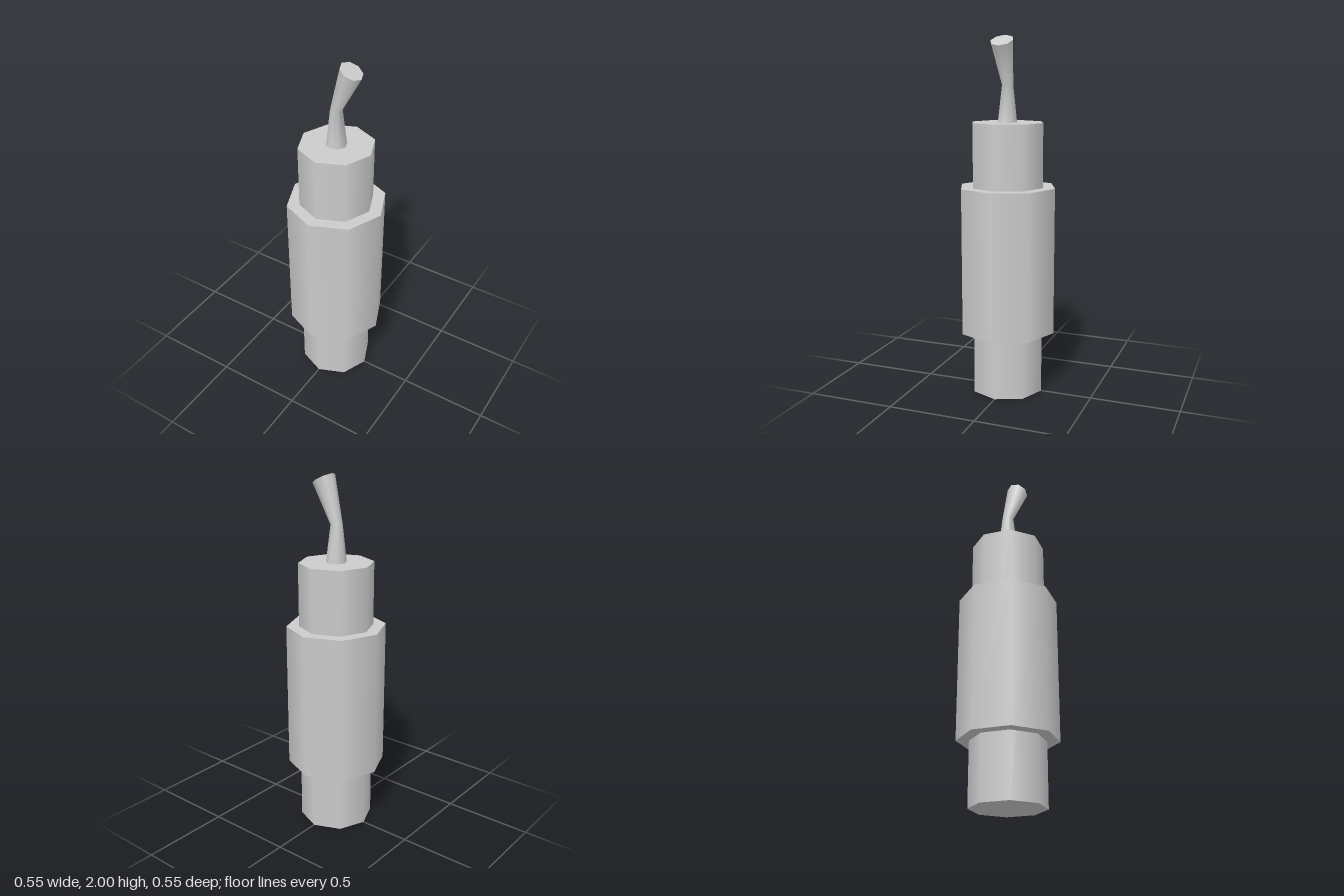
import * as THREE from 'three';
import { toCreasedNormals } from 'three/addons/utils/BufferGeometryUtils.js';

const SIDES = 8;

export function createModel() {
  const group = new THREE.Group();
  const material = new THREE.MeshStandardMaterial({ color: 0xcccccc });

  function add(name, geometry) {
    const mesh = new THREE.Mesh(geometry, material);
    mesh.name = name;
    group.add(mesh);
  }

  // Upright octagonal cylinder between two heights
  function addCylinder(name, radius, bottom, top) {
    const geometry = new THREE.CylinderGeometry(radius, radius, top - bottom, SIDES);
    add(name, geometry.translate(0, (bottom + top) / 2, 0));
  }

  addCylinder('core', 0.207, 0, 1.535);
  addCylinder('outerSleeve', 0.277, 0.355, 1.18);

  // Bent fuse: three rings, narrow in the middle, the top one tilted
  const rings = [
    { x: 0, y: 1.53, radius: 0.057, tilt: 0 },
    { x: -0.002, y: 1.738, radius: 0.033, tilt: 0 },
    { x: 0.085, y: 1.972, radius: 0.064, tilt: -0.48 },
  ];
  const fuse = new THREE.CylinderGeometry(1, 1, 2, SIDES, 2);
  const pos = fuse.attributes.position;
  const axis = new THREE.Vector3(0, 0, 1);
  const v = new THREE.Vector3();
  for (let i = 0; i < pos.count; i++) {
    const ring = rings[Math.round(pos.getY(i)) + 1];
    v.set(pos.getX(i) * ring.radius, 0, pos.getZ(i) * ring.radius);
    v.applyAxisAngle(axis, ring.tilt);
    pos.setXYZ(i, v.x + ring.x, v.y + ring.y, v.z);
  }
  add('fuse', toCreasedNormals(fuse, 1));

  return group;
}
